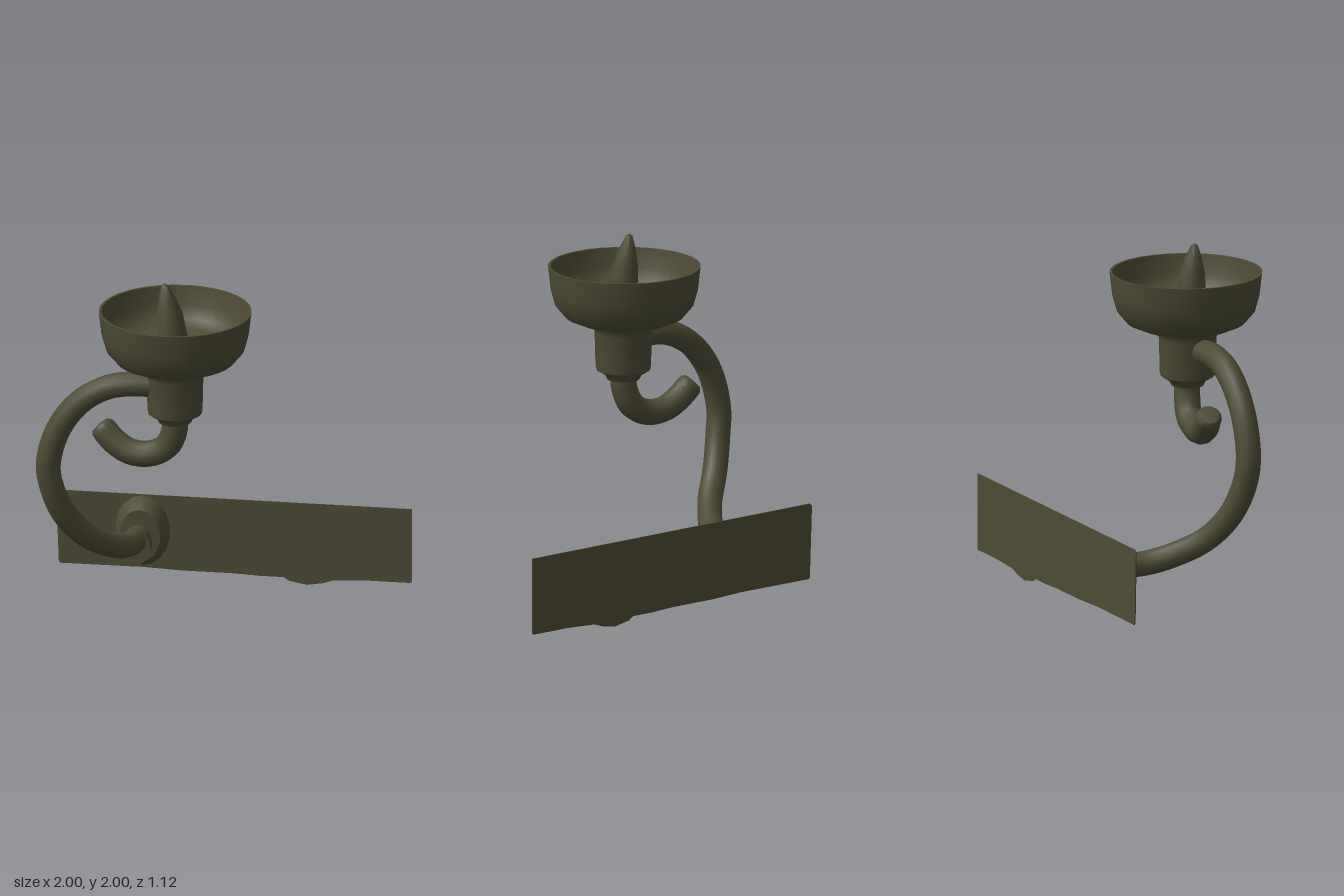
import * as THREE from 'three';
import { toCreasedNormals } from 'three/addons/utils/BufferGeometryUtils.js';

const CUP_X = -0.22, CUP_Z = 0.135;

export function createModel() {
  const model = new THREE.Group();
  const iron = new THREE.MeshStandardMaterial({ color: 0x4d4b35 });
  iron.name = 'darkOliveIron';

  const add = (name, geometry, x = 0, y = 0, z = 0) => {
    const mesh = new THREE.Mesh(geometry, iron);
    mesh.name = name;
    mesh.position.set(x, y, z);
    model.add(mesh);
    return mesh;
  };
  const lathe = (points, sides, crease = 0.7) => toCreasedNormals(
    new THREE.LatheGeometry(points.map(([r, y]) => new THREE.Vector2(r, y)), sides), crease);
  const vectors = points => points.map(p => new THREE.Vector3(...p));
  const tube = (name, points, radius, segments) => {
    const curve = new THREE.CatmullRomCurve3(vectors(points));
    add(name, new THREE.TubeGeometry(curve, segments, radius, 12));
    return curve;
  };

  // Open drip cup: outside wall, rim, then inside wall and floor
  add('dripCup', lathe([
    [0, 1.49], [0.17, 1.495], [0.25, 1.51], [0.33, 1.545], [0.385, 1.61], [0.41, 1.7],
    [0.425, 1.83], [0.41, 1.83], [0.395, 1.72], [0.365, 1.65], [0.3, 1.615],
    [0.15, 1.595], [0.14, 1.615], [0.08, 1.625], [0, 1.625],
  ], 32), CUP_X, 0, CUP_Z);

  // Candle spike leaning slightly to one side
  const spike = lathe([[0.085, 1.6], [0.083, 1.7], [0.07, 1.83], [0.045, 1.92], [0.02, 1.985], [0, 2]], 14, 1);
  const p = spike.attributes.position;
  for (let i = 0; i < p.count; i++) {
    p.setX(i, p.getX(i) - 0.045 * Math.max(0, (p.getY(i) - 1.75) / 0.25));
  }
  add('candleSpike', spike, -0.232, 0, 0.16);

  // Socket under the cup
  add('socket', lathe([
    [0, 1.18], [0.09, 1.18], [0.105, 1.21], [0.15, 1.235], [0.155, 1.26],
    [0.16, 1.45], [0.17, 1.485], [0.2, 1.51],
  ], 16), CUP_X, 0, 0.145);

  // Curled hook with a blunt, slightly swollen tip
  const hook = tube('hook', [
    [-0.22, 1.24, 0.145], [-0.223, 1.13, 0.14], [-0.27, 1.025, 0.128], [-0.37, 0.972, 0.117],
    [-0.48, 0.975, 0.105], [-0.57, 1.025, 0.09], [-0.63, 1.085, 0.075],
  ], 0.073, 28);
  const tip = add('hookTip', lathe([[0.073, -0.02], [0.072, 0.015], [0.055, 0.035], [0, 0.042]], 12));
  tip.position.copy(hook.getPoint(1));
  tip.quaternion.setFromUnitVectors(new THREE.Vector3(0, 1, 0), hook.getTangent(1));

  // Sweeping arm from the socket down and back to the wall
  tube('arm', [
    [-0.3, 1.395, 0.165], [-0.45, 1.4, 0.175], [-0.59, 1.375, 0.18], [-0.74, 1.285, 0.18],
    [-0.865, 1.12, 0.18], [-0.927, 0.9, 0.175], [-0.905, 0.74, 0.155], [-0.84, 0.57, 0.1],
    [-0.73, 0.425, 0.01], [-0.63, 0.335, -0.12], [-0.56, 0.285, -0.25], [-0.53, 0.27, -0.38],
    [-0.52, 0.265, -0.47],
  ], 0.07, 56);

  // Oval boss and flared flange that hold the arm
  const boss = add('armBoss', lathe([[0, 0.1], [0.085, 0.1], [0.08, 0], [0, 0]].reverse(), 14), -0.525, 0.235, -0.46);
  boss.rotation.x = Math.PI / 2;
  boss.scale.z = 1.25;
  const flange = add('wallFlange', lathe([[0, 0], [0.155, 0], [0.15, 0.02], [0.115, 0.095], [0, 0.1]], 18), -0.515, 0.27, -0.55);
  flange.rotation.x = Math.PI / 2;
  flange.scale.z = 1.33;

  // Thin wall plate with an uneven lower edge
  const outline = [
    [-0.975, 0.05], [-0.5, 0.052], [-0.3, 0.044], [0, 0.044], [0.14, 0.038], [0.28, 0.038],
    [0.31, 0.018], [0.41, 0], [0.5, 0.015], [0.56, 0.035], [0.75, 0.045], [0.99, 0.045],
    [1, 0.055], [1, 0.48], [-0.985, 0.48], [-1, 0.465], [-0.985, 0.06],
  ];
  const shape = new THREE.Shape(outline.map(([x, y]) => new THREE.Vector2(x, y)));
  add('wallPlate', new THREE.ExtrudeGeometry(shape, { depth: 0.006, bevelEnabled: false }), 0, 0, -0.556);

  return model;
}
